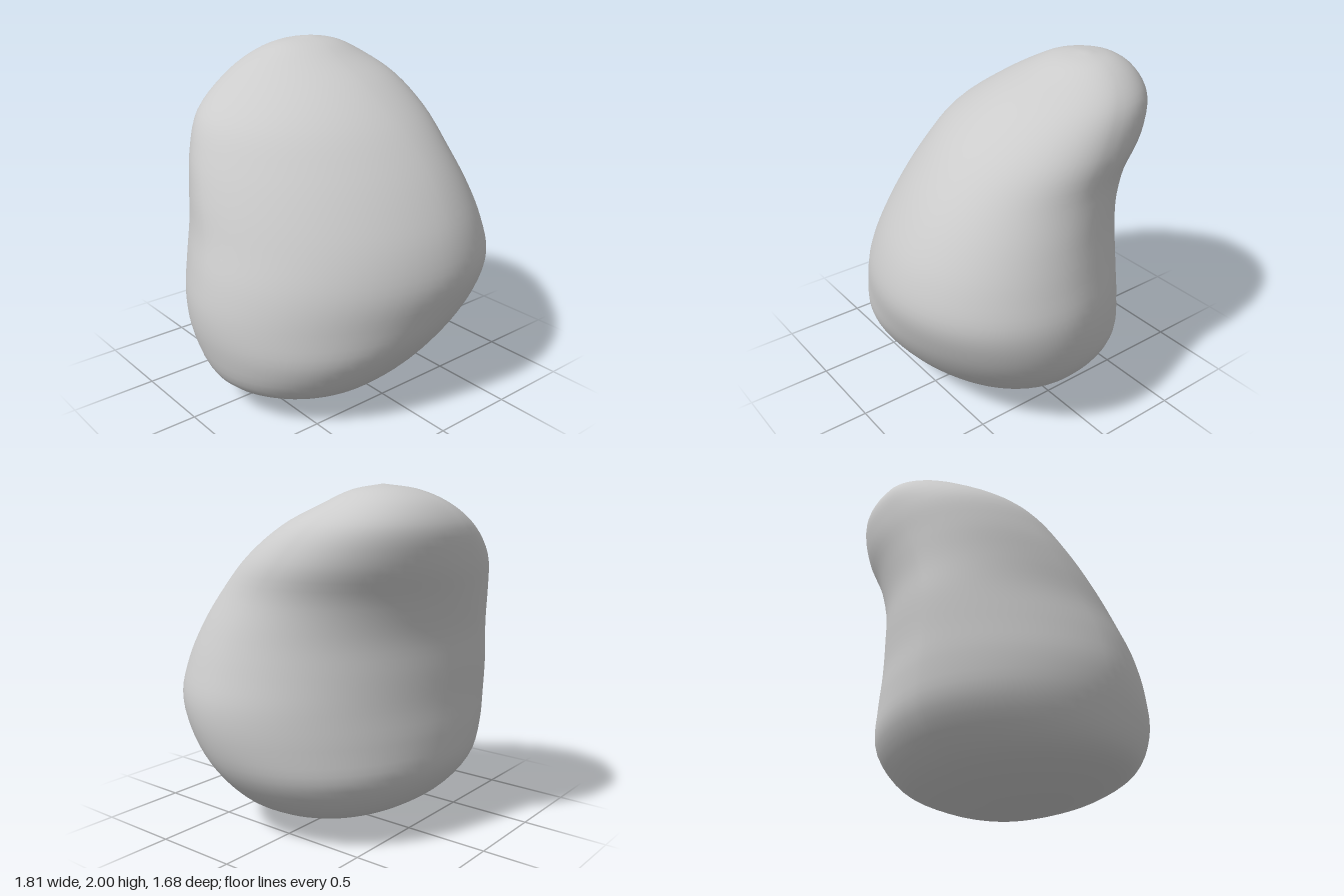
import * as THREE from 'three';

// Cross-sections from bottom to top:
// y, xMin, xMax, zMin (back), zMax (front), z at xMin, z at xMax, x at zMin, x at zMax
const LEVELS = [
  [0.00, -0.16, 0.04, -0.02, 0.12, 0.05, 0.05, -0.06, -0.06],
  [0.02, -0.38, 0.17, -0.12, 0.25, 0.07, 0.05, -0.08, -0.12],
  [0.09, -0.63, 0.42, -0.36, 0.45, 0.06, 0.05, -0.11, -0.18],
  [0.20, -0.82, 0.64, -0.55, 0.60, 0.05, 0.06, -0.14, -0.20],
  [0.40, -0.89, 0.82, -0.71, 0.74, 0.02, 0.10, -0.18, -0.11],
  [0.60, -0.905, 0.89, -0.75, 0.81, 0.00, 0.15, -0.23, 0.07],
  [0.80, -0.87, 0.90, -0.76, 0.845, -0.02, 0.18, -0.27, 0.17],
  [1.00, -0.81, 0.85, -0.775, 0.80, -0.08, 0.17, -0.27, 0.20],
  [1.20, -0.76, 0.79, -0.78, 0.70, -0.18, 0.12, -0.23, 0.22],
  [1.40, -0.69, 0.735, -0.805, 0.56, -0.28, 0.02, -0.15, 0.22],
  [1.60, -0.58, 0.715, -0.835, 0.37, -0.36, -0.13, -0.06, 0.20],
  [1.78, -0.35, 0.645, -0.83, 0.12, -0.42, -0.28, 0.02, 0.19],
  [1.90, -0.15, 0.52, -0.75, -0.13, -0.45, -0.39, 0.10, 0.19],
  [1.97, 0.01, 0.39, -0.62, -0.29, -0.45, -0.43, 0.18, 0.21],
];
const SIDES = 72, STEPS = 64;

const bump = (y, centre, width) => Math.exp(-(((y - centre) / width) ** 2));

// Fullness of each corner of a section: 2 is an ellipse, more is boxier, less is flatter
function fullness(y, right, back) {
  if (back) {
    return right
      ? 1.83 + 0.38 * bump(y, 1.75, 0.28) + 0.4 * bump(y, 0.2, 0.3)
      : 1.74 + 0.42 * bump(y, 1.62, 0.32) + 0.16 * bump(y, 0.3, 0.4);
  }
  return right ? 2.03 : 1.8 + 0.22 * bump(y, 0.3, 0.35);
}

// Point on a rounded section made of four quarter arcs joining its extremes
function sectionPoint([y, x0, x1, z0, z1, zLow, zHigh, xBack, xFront], angle) {
  const c = Math.cos(angle), s = Math.sin(angle);
  const ex = c < 0 ? x0 : x1, ez = s < 0 ? z0 : z1;
  const cx = s < 0 ? xBack : xFront, cz = c < 0 ? zLow : zHigh;
  const n = fullness(y, c > 0, s < 0);
  return new THREE.Vector3(
    cx + (ex - cx) * Math.abs(c) ** (2 / n), y,
    cz + (ez - cz) * Math.abs(s) ** (2 / n));
}

export function createModel() {
  const group = new THREE.Group();
  group.name = 'boulder';
  const bottom = new THREE.Vector3(-0.06, 0, 0.05);
  const top = new THREE.Vector3(0.22, 2, -0.445);

  // Smooth meridians running from the bottom pole to the top pole
  const meridians = [];
  for (let j = 0; j < SIDES; j++) {
    const a = (j / SIDES) * Math.PI * 2;
    const pts = [bottom, ...LEVELS.map((l) => sectionPoint(l, a)), top];
    meridians.push(new THREE.CatmullRomCurve3(pts));
  }

  // Skin: rings between two pole vertices
  const pos = [...bottom.toArray()], index = [];
  for (let i = 1; i < STEPS; i++)
    for (const m of meridians) {
      const p = m.getPoint(i / STEPS);
      pos.push(p.x, THREE.MathUtils.clamp(p.y, 0, 2), p.z);
    }
  pos.push(...top.toArray());
  const last = pos.length / 3 - 1;
  const id = (i, j) => (i === 0 ? 0 : i === STEPS ? last : 1 + (i - 1) * SIDES + (j % SIDES));
  for (let i = 0; i < STEPS; i++)
    for (let j = 0; j < SIDES; j++) {
      const a = id(i, j), b = id(i + 1, j), c = id(i + 1, j + 1), d = id(i, j + 1);
      if (i < STEPS - 1) index.push(a, b, c);
      if (i > 0) index.push(a, c, d);
    }
  const geo = new THREE.BufferGeometry();
  geo.setAttribute('position', new THREE.Float32BufferAttribute(pos, 3));
  geo.setIndex(index);
  geo.computeVertexNormals();

  const rock = new THREE.Mesh(geo, new THREE.MeshStandardMaterial({ color: 0xcccccc }));
  rock.name = 'rock';
  group.add(rock);
  return group;
}
